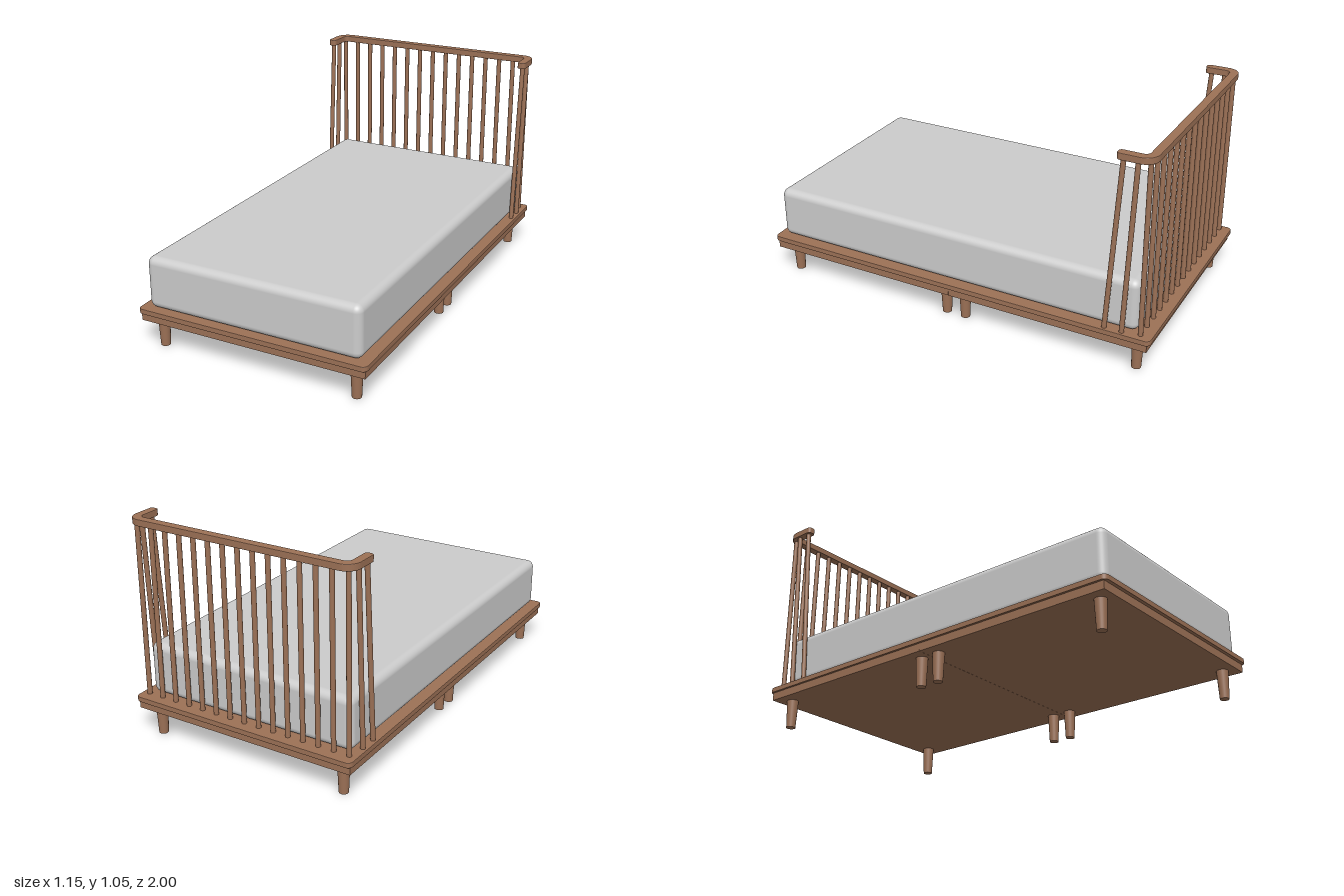
import * as THREE from 'three';
import { RoundedBoxGeometry } from 'three/addons/geometries/RoundedBoxGeometry.js';

export function createModel() {
  const group = new THREE.Group();
  const wood = new THREE.MeshStandardMaterial({ color: 0x9c7156 });
  wood.name = 'wood';
  const fabric = new THREE.MeshStandardMaterial({ color: 0xcccccc });
  fabric.name = 'mattressFabric';

  const add = (name, geometry, material, x = 0, y = 0, z = 0) => {
    const mesh = new THREE.Mesh(geometry, material);
    mesh.name = name;
    mesh.position.set(x, y, z);
    group.add(mesh);
    return mesh;
  };

  // Extrude a plan outline (x, -z) upwards, with softened edges
  const slab = (shape, height, bevel) => {
    const geo = new THREE.ExtrudeGeometry(shape, {
      depth: height - 2 * bevel, bevelThickness: bevel, bevelSize: bevel,
      bevelOffset: -bevel, bevelSegments: 2, curveSegments: 10,
    });
    geo.translate(0, 0, bevel);
    return geo.rotateX(-Math.PI / 2);
  };

  // Deck with rounded corners
  const W = 0.575, L = 1, R = 0.025;
  const deck = new THREE.Shape();
  deck.absarc(W - R, L - R, R, 0, Math.PI / 2);
  deck.absarc(-W + R, L - R, R, Math.PI / 2, Math.PI);
  deck.absarc(-W + R, -L + R, R, Math.PI, Math.PI * 1.5);
  deck.absarc(W - R, -L + R, R, Math.PI * 1.5, Math.PI * 2);
  deck.closePath();
  add('deck', slab(deck, 0.025, 0.003), wood, 0, 0.175, 0);

  // Base in two halves, each on four tapered legs
  const legGeo = new THREE.CylinderGeometry(0.028, 0.022, 0.138, 24);
  for (const s of [1, -1]) {
    add(s > 0 ? 'frontBase' : 'rearBase', new THREE.BoxGeometry(1.13, 0.039, 0.984), wood, 0, 0.1565, s * 0.4925);
    for (const x of [-0.493, 0.493]) {
      for (const z of [0.05, 0.918]) add('leg', legGeo, wood, x, 0.069, s * z);
    }
  }

  // Mattress
  add('mattress', new RoundedBoxGeometry(1.07, 0.25, 1.895, 6, 0.035), fabric, 0, 0.325, 0.0225);

  // U-shaped top rail of the headboard
  const xo = 0.573, xi = 0.531, back = 0.972, inner = 0.93, end = 0.805;
  const ro = 0.065, ri = 0.023, re = 0.016;
  const rail = new THREE.Shape();
  rail.absarc(xo - ro, back - ro, ro, 0, Math.PI / 2);
  rail.absarc(-xo + ro, back - ro, ro, Math.PI / 2, Math.PI);
  rail.absarc(-xo + re, end + re, re, Math.PI, Math.PI * 1.5);
  rail.absarc(-xi - re, end + re, re, Math.PI * 1.5, Math.PI * 2);
  rail.absarc(-xi + ri, inner - ri, ri, Math.PI, Math.PI / 2, true);
  rail.absarc(xi - ri, inner - ri, ri, Math.PI / 2, 0, true);
  rail.absarc(xi + re, end + re, re, Math.PI, Math.PI * 1.5);
  rail.absarc(xo - re, end + re, re, Math.PI * 1.5, Math.PI * 2);
  rail.closePath();
  add('headboardRail', slab(rail, 0.031, 0.003), wood, 0, 1.019, 0);

  // Spindles run from the deck into the rail
  const up = new THREE.Vector3(0, 1, 0);
  const spindle = (name, x, zBottom, zTop) => {
    const a = new THREE.Vector3(x, 0.198, zBottom), b = new THREE.Vector3(x, 1.025, zTop);
    const dir = b.clone().sub(a);
    const mesh = add(name, new THREE.CylinderGeometry(0.0115, 0.0115, dir.length(), 16), wood);
    mesh.position.copy(a).add(b).multiplyScalar(0.5);
    mesh.quaternion.setFromUnitVectors(up, dir.normalize());
  };
  for (let i = -7; i <= 7; i++) spindle('backSpindle', i * 0.0767, -0.944, -0.944);
  for (const x of [-0.553, 0.553]) {
    spindle('sideSpindle', x, -0.78, -0.832);
    spindle('sideSpindle', x, -0.862, -0.896);
  }
  return group;
}
